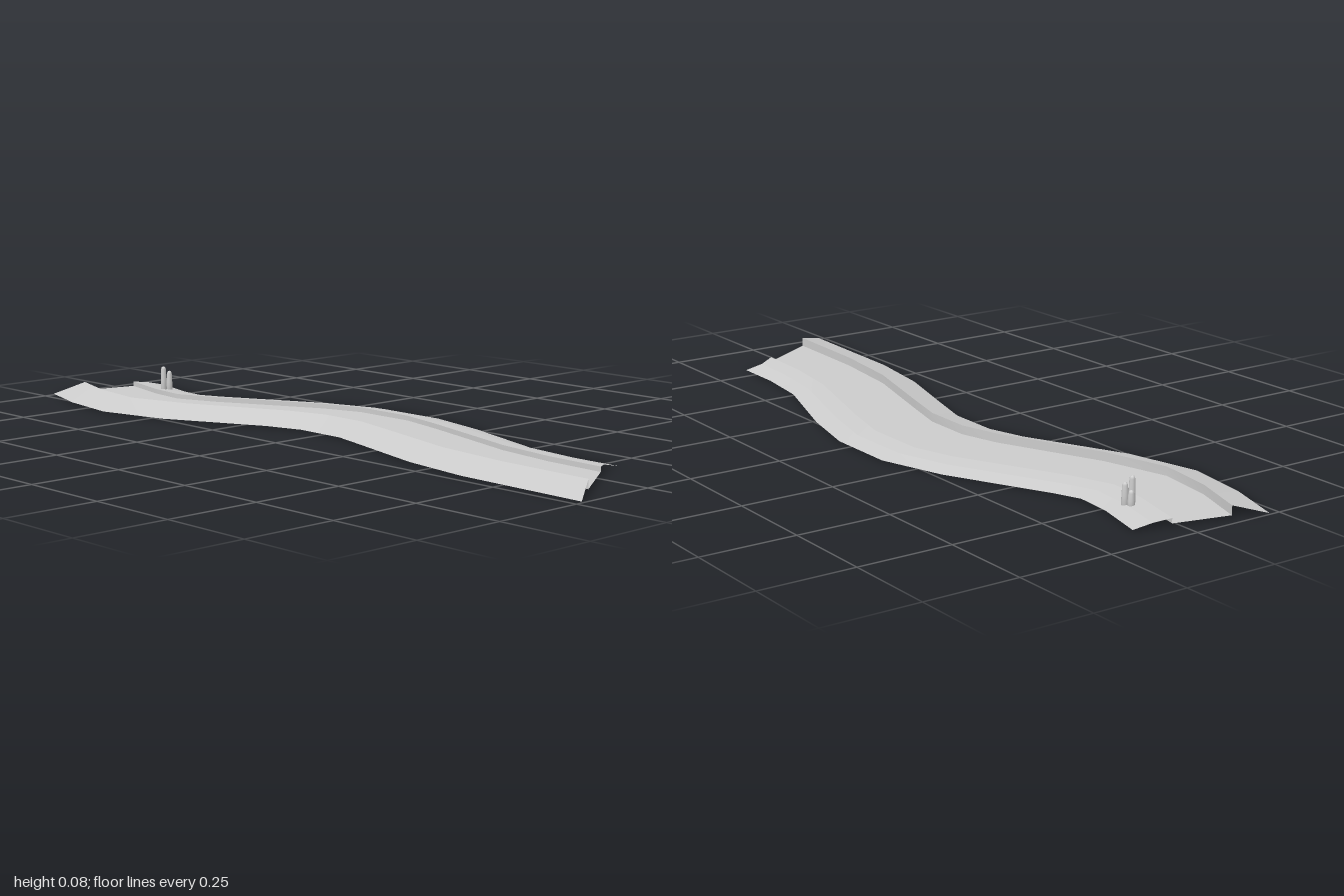
import * as THREE from 'three';

// Plan positions [x, z] along each long edge, from back to front
const outerLow = [[-.22, -1], [-.27, -.84], [-.297, -.66], [-.25, -.46], [-.12, -.185], [-.09, -.08], [-.092, .07], [-.125, .19], [-.19, .42], [-.22, .62], [-.232, 1]];
const innerLow = [[-.13, -.97], [-.178, -.82], [-.2, -.66], [-.15, -.48], [-.025, -.2], [.005, -.09], [.003, .05], [-.03, .18], [-.1, .445], [-.125, .66], [-.135, .937]];
const innerHigh = [[.02, -.935], [-.017, -.78], [-.028, -.67], [.015, -.555], [.16, -.265], [.195, -.15], [.195, .03], [.16, .175], [.07, .49], [.045, .66], [.037, .83]];
const outerHigh = [[.115, -.91], [.08, -.77], [.072, -.67], [.1, -.6], [.235, -.33], [.292, -.15], [.292, .05], [.25, .23], [.16, .5], [.14, .66], [.138, .8]];

const BED = 0.007, RIM_LOW = 0.031, RIM_HIGH = 0.02, GROUND = 0.003;

// Line of points at a constant height
const rail = (pts, y) => pts.map(([x, z]) => [x, y, z]);

// Surface strip between two rails; rails run from -x to +x
function strip(name, a, b, material) {
  const index = [];
  for (let i = 0; i < a.length - 1; i++) {
    const p = i * 2;
    index.push(p, p + 2, p + 1, p + 1, p + 2, p + 3);
  }
  const geometry = new THREE.BufferGeometry();
  geometry.setAttribute('position', new THREE.Float32BufferAttribute(a.flatMap((p, i) => [...p, ...b[i]]), 3));
  geometry.setIndex(index);
  geometry.computeVertexNormals();
  const mesh = new THREE.Mesh(geometry, material);
  mesh.name = name;
  return mesh;
}

export function createModel() {
  const grey = new THREE.MeshStandardMaterial({ color: 0xcccccc, side: THREE.DoubleSide });
  grey.name = 'stoneGrey';
  const group = new THREE.Group();
  group.name = 'windingChannel';

  // Crease halfway down the higher-x bank, ending in a small notch at the front
  const crease = innerHigh.map(([x, z], i) => [(x + outerHigh[i][0]) / 2, 0.014, (z + outerHigh[i][1]) / 2]);
  crease[crease.length - 1] = [.085, .014, .8];

  // Banks, walls and bed
  group.add(
    strip('rightBank', rail(outerLow, GROUND), rail(innerLow, RIM_LOW), grey),
    strip('rightWall', rail(innerLow, RIM_LOW), rail(innerLow, BED), grey),
    strip('channelBed', rail(innerLow, BED), rail(innerHigh, BED), grey),
    strip('leftWall', rail(innerHigh, BED), rail(innerHigh, RIM_HIGH), grey),
    strip('leftBankUpper', rail(innerHigh, RIM_HIGH), crease, grey),
    strip('leftBankLower', crease, rail(outerHigh, GROUND), grey)
  );

  // Cluster of round-topped posts near the back
  const posts = new THREE.Group();
  posts.name = 'postCluster';
  for (const [x, z, h] of [[.015, -.786, .082], [.033, -.782, .068], [.028, -.799, .052]]) {
    const profile = [[0, 0], [.0095, 0], [.0085, h * .5], [.0072, h - .008], [.005, h - .002], [0, h]];
    const post = new THREE.Mesh(new THREE.LatheGeometry(profile.map(p => new THREE.Vector2(...p)), 10), grey);
    post.name = 'post';
    post.position.set(x, 0, z);
    posts.add(post);
  }
  group.add(posts);
  return group;
}
